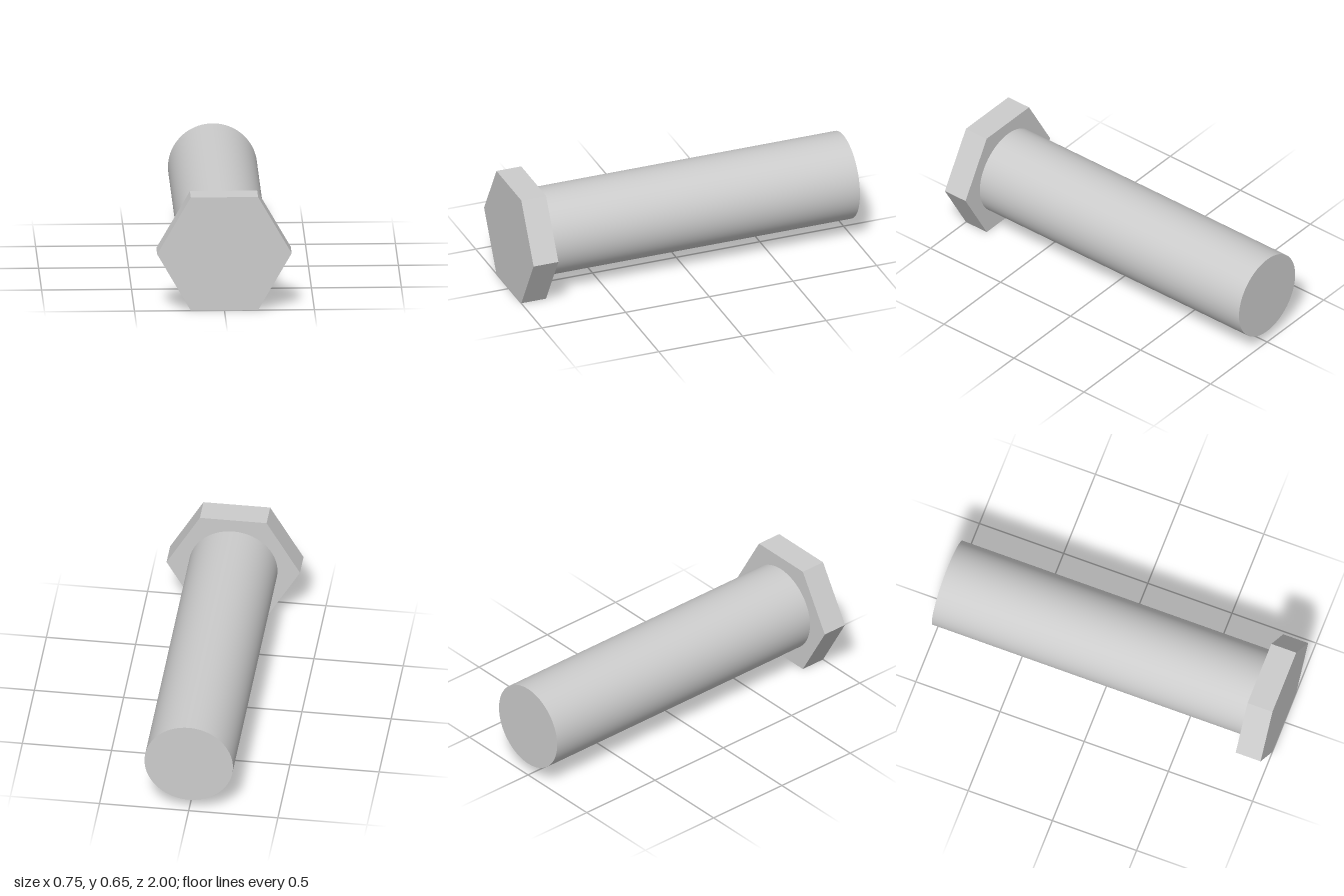
import * as THREE from 'three';

const HEAD_RADIUS = 0.374;   // centre to corner
const HEAD_DEPTH = 0.148;
const SHANK_RADIUS = 0.248;
const LENGTH = 2;
const AXIS_Y = HEAD_RADIUS * Math.cos(Math.PI / 6);   // head rests on one flat

// Prism or cylinder lying along z, from zBack to zFront
function rod(name, radius, zBack, zFront, sides, flatShading) {
  const geometry = new THREE.CylinderGeometry(radius, radius, zFront - zBack, sides);
  geometry.rotateY(Math.PI / 6);   // puts hexagon corners on the x axis
  geometry.rotateX(Math.PI / 2);
  const material = new THREE.MeshStandardMaterial({ color: 0xcccccc, flatShading });
  const mesh = new THREE.Mesh(geometry, material);
  mesh.name = name;
  mesh.position.set(0, AXIS_Y, (zBack + zFront) / 2);
  return mesh;
}

export function createModel() {
  const bolt = new THREE.Group();
  bolt.name = 'hexBolt';
  const front = LENGTH / 2;
  const headBack = front - HEAD_DEPTH;

  // Hexagonal head at the front
  bolt.add(rod('head', HEAD_RADIUS, headBack, front, 6, true));
  // Plain round shank running to the back
  bolt.add(rod('shank', SHANK_RADIUS, -front, headBack, 96, false));

  return bolt;
}
